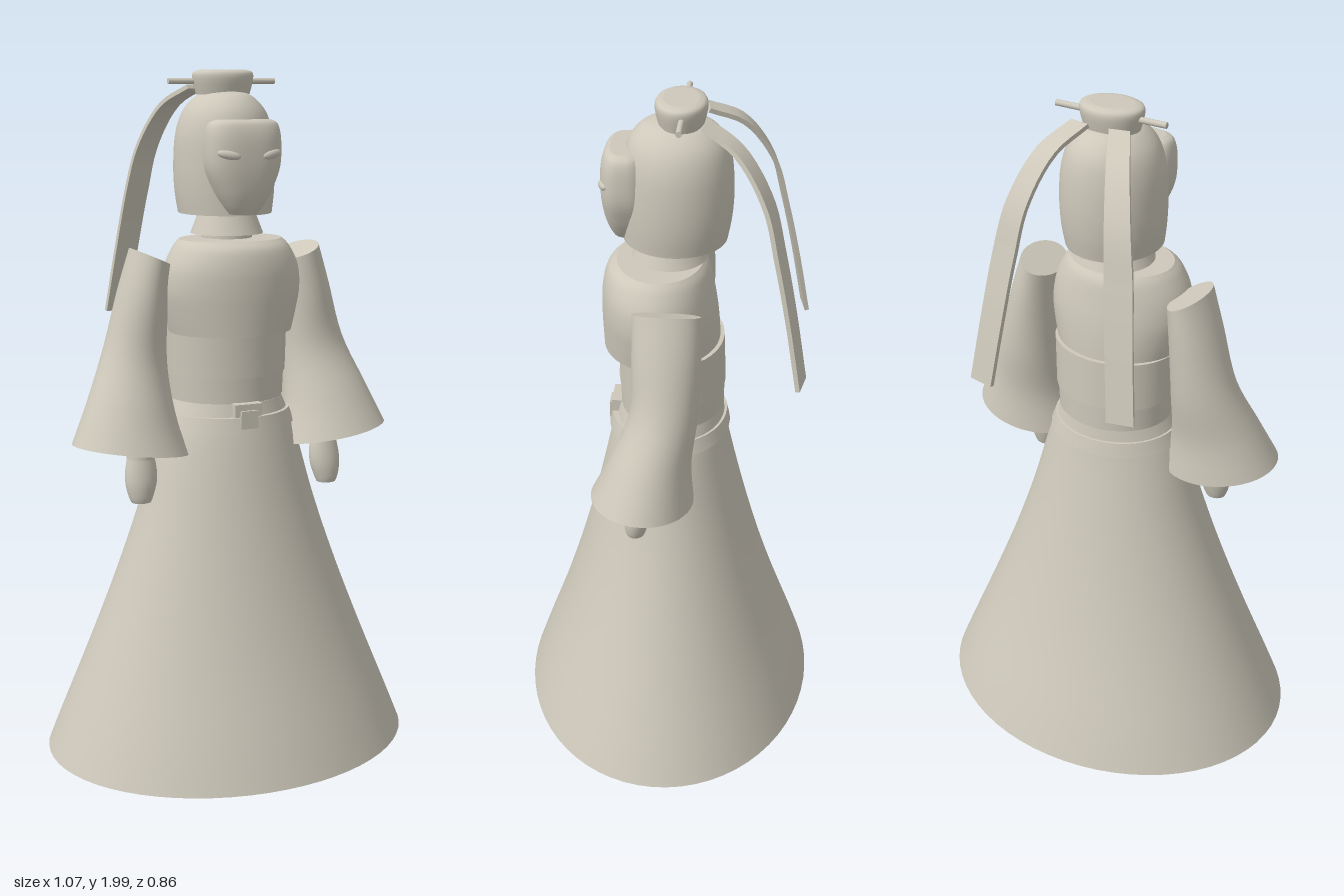
import * as THREE from 'three';

const cloth = new THREE.MeshStandardMaterial({ color: 0xcdc8ba, side: THREE.DoubleSide });
cloth.name = 'warm grey';

// Catmull-Rom subdivision of a list of number rows
function smoothRows(rows, sub) {
  if (sub < 2) return rows;
  const out = [], at = i => rows[Math.max(0, Math.min(rows.length - 1, i))];
  for (let i = 0; i < rows.length - 1; i++) {
    for (let k = 0; k < sub; k++) {
      const t = k / sub, [a, b, c, d] = [at(i - 1), at(i), at(i + 1), at(i + 2)];
      out.push(b.map((_, n) => 0.5 * (2 * b[n] + (c[n] - a[n]) * t
        + (2 * a[n] - 5 * b[n] + 4 * c[n] - d[n]) * t * t
        + (3 * b[n] - a[n] - 3 * c[n] + d[n]) * t * t * t)));
    }
  }
  out.push(rows[rows.length - 1]);
  return out;
}

// Elliptical loft, listed from top to bottom. Row: x, y, z, rx, rz, roll (about z), tilt (about x)
function loft(rows, { sub = 5, seg = 48, top = true, bottom = true, power = 1 } = {}) {
  const rings = smoothRows(rows.map(r => [...r, 0, 0].slice(0, 7)), sub);
  const pos = [], idx = [];
  const bend = v => Math.sign(v) * Math.abs(v) ** power;
  const addRing = ([x, y, z, rx, rz, roll, tilt]) => {
    const start = pos.length / 3;
    for (let j = 0; j < seg; j++) {
      const a = j / seg * Math.PI * 2, p = bend(Math.cos(a)) * rx, q = bend(Math.sin(a)) * rz;
      pos.push(x + p * Math.cos(roll), y + p * Math.sin(roll) - q * Math.sin(tilt), z + q * Math.cos(tilt));
    }
    return start;
  };
  rings.forEach(addRing);
  for (let i = 0; i < rings.length - 1; i++) {
    for (let j = 0; j < seg; j++) {
      const a = i * seg + j, b = i * seg + (j + 1) % seg;
      idx.push(a, b, a + seg, b, b + seg, a + seg);
    }
  }
  const cap = (ring, flip) => {
    const s = addRing(ring), c = pos.length / 3;
    pos.push(ring[0], ring[1], ring[2]);
    for (let j = 0; j < seg; j++) {
      const a = s + j, b = s + (j + 1) % seg;
      idx.push(c, flip ? b : a, flip ? a : b);
    }
  };
  if (top) cap(rings[0], true);
  if (bottom) cap(rings[rings.length - 1], false);
  const g = new THREE.BufferGeometry();
  g.setAttribute('position', new THREE.Float32BufferAttribute(pos, 3));
  g.setIndex(idx);
  g.computeVertexNormals();
  return g;
}

// Flat ribbon with a small thickness swept along a curve
function ribbon(points, halfWidth, side) {
  const curve = new THREE.CatmullRomCurve3(points.map(p => new THREE.Vector3(p[0] * side, p[1], p[2])));
  const n = 28, g = new THREE.BoxGeometry(1, 1, 1, 4, n, 1), p = g.attributes.position;
  const across = new THREE.Vector3(0.97, 0, 0.2 * side).normalize();
  for (let i = 0; i < p.count; i++) {
    const t = 0.5 - p.getY(i), tan = curve.getTangentAt(t);
    const out = new THREE.Vector3().crossVectors(tan, across).normalize().multiplyScalar(-1);
    const v = curve.getPointAt(t)
      .addScaledVector(across, p.getX(i) * 2 * halfWidth * (0.75 + 0.25 * Math.min(1, t * 2)))
      .addScaledVector(out, p.getZ(i) * 0.012);
    p.setXYZ(i, v.x, v.y, v.z);
  }
  g.computeVertexNormals();
  return g;
}

export function createModel() {
  const model = new THREE.Group();
  const add = (name, geometry) => {
    const m = new THREE.Mesh(geometry, cloth);
    m.name = name;
    model.add(m);
    return m;
  };

  // Flared skirt, open below, with a thin inner wall
  const skirt = [
    [0, 1.11, -0.005, 0.157, 0.143], [0, 1.0, 0, 0.2, 0.165], [0, 0.8, 0, 0.258, 0.21],
    [0, 0.6, 0, 0.328, 0.262], [0, 0.4, 0, 0.407, 0.323], [0, 0.2, 0, 0.49, 0.393], [0, 0.09, 0, 0.535, 0.43]];
  add('skirt', loft(skirt, { bottom: false, seg: 64 }));
  add('skirtLining', loft(skirt.map(([x, y, z, a, b]) => [x, y, z, a - 0.01, b - 0.01]), { bottom: false, seg: 64 }));

  // Waist, sash bands and knot
  add('hipBand', loft([[0, 1.075, 0, 0.178, 0.16], [0, 1.035, 0, 0.193, 0.169]], { sub: 1 }));
  add('lowerSash', loft([[0, 1.19, -0.008, 0.166, 0.143], [0, 1.11, -0.008, 0.162, 0.143]], { sub: 1 }));
  add('upperSash', loft([[0, 1.32, -0.006, 0.174, 0.142], [0, 1.18, -0.008, 0.17, 0.146]], { sub: 1 }));
  const knot = add('sashKnot', new THREE.BoxGeometry(0.08, 0.035, 0.03));
  knot.position.set(0, 1.095, 0.145);
  const knotEnd = add('sashKnotEnd', new THREE.BoxGeometry(0.05, 0.05, 0.02));
  knotEnd.position.set(0, 1.07, 0.158);

  // Chest, collar and neck
  add('chest', loft([
    [0, 1.553, 0.025, 0.145, 0.115], [0, 1.53, 0.03, 0.165, 0.135], [0, 1.48, 0.031, 0.19, 0.147],
    [0, 1.42, 0.027, 0.197, 0.154], [0, 1.36, 0.023, 0.188, 0.157], [0, 1.3, 0.02, 0.174, 0.158]]));
  add('collar', loft([[0, 1.617, 0, 0.08, 0.08], [0, 1.565, 0, 0.1, 0.1]], { sub: 1 }));
  add('neck', loft([[0, 1.68, 0, 0.065, 0.065], [0, 1.54, 0, 0.07, 0.07]], { sub: 1 }));

  // Rounded hair cap
  add('hair', loft([
    [0, 1.943, -0.02, 0.04, 0.05], [0, 1.93, -0.02, 0.075, 0.09], [0, 1.89, -0.02, 0.112, 0.124],
    [0, 1.83, -0.02, 0.132, 0.139], [0, 1.75, -0.02, 0.138, 0.144], [0, 1.68, -0.018, 0.136, 0.142],
    [0, 1.62, -0.014, 0.128, 0.136]]));

  // Shield-shaped face with eyes
  add('face', loft([
    [0, 1.872, 0.115, 0.075, 0.035], [0, 1.86, 0.112, 0.095, 0.052], [0, 1.82, 0.11, 0.104, 0.064],
    [0, 1.75, 0.108, 0.102, 0.067], [0, 1.69, 0.105, 0.08, 0.063], [0, 1.65, 0.102, 0.058, 0.055],
    [0, 1.625, 0.1, 0.04, 0.045]], { power: 0.75 }));
  for (const s of [1, -1]) {
    const eye = add(s > 0 ? 'leftEye' : 'rightEye', new THREE.SphereGeometry(1, 20, 12));
    eye.scale.set(0.032, 0.013, 0.012);
    eye.position.set(0.06 * s, 1.783, 0.163);
    eye.rotation.set(0, 0.3 * s, 0.2 * s);
  }

  // Topknot with a pin through it
  add('topknot', loft([
    [0, 2.0, -0.028, 0.06, 0.045], [0, 1.994, -0.028, 0.082, 0.062], [0, 1.975, -0.028, 0.085, 0.066],
    [0, 1.935, -0.028, 0.075, 0.058]], { sub: 3 }));
  const pin = add('hairPin', new THREE.CylinderGeometry(0.008, 0.008, 0.31, 12));
  pin.rotation.z = Math.PI / 2;
  pin.position.set(0, 1.97, -0.035);

  for (const s of [1, -1]) {
    const side = s > 0 ? 'left' : 'right';
    const mirror = rows => rows.map(([x, y, z, rx, rz, roll = 0, tilt = 0]) => [x * s, y, z, rx, rz, roll * s, tilt]);

    // Trailing hair ribbon
    add(side + 'Ribbon', ribbon([
      [0.055, 1.955, -0.09], [0.1, 1.905, -0.18], [0.14, 1.79, -0.255], [0.162, 1.66, -0.29],
      [0.182, 1.5, -0.325], [0.205, 1.31, -0.36]], 0.036, s));

    // Wide sleeve, closed at the shoulder and open at the hem
    add(side + 'Sleeve', loft(mirror([
      [0.221, 1.508, -0.012, 0.056, 0.088, 0.42], [0.243, 1.395, -0.014, 0.07, 0.09, 0.32],
      [0.268, 1.24, -0.01, 0.09, 0.09, 0.25], [0.292, 1.1, 0.025, 0.125, 0.11, 0.2],
      [0.302, 0.99, 0.045, 0.165, 0.138, 0.14, -0.06]]), { bottom: false }));

    // Forearm and hand
    add(side + 'Forearm', loft(mirror([
      [0.255, 1.25, 0.0, 0.045, 0.045], [0.275, 0.99, 0.052, 0.042, 0.04], [0.278, 0.965, 0.055, 0.04, 0.036]]),
      { sub: 1, seg: 24 }));
    add(side + 'Hand', loft(mirror([
      [0.278, 0.985, 0.053, 0.034, 0.028], [0.279, 0.935, 0.058, 0.044, 0.034], [0.281, 0.895, 0.063, 0.044, 0.035],
      [0.283, 0.86, 0.067, 0.035, 0.03], [0.283, 0.843, 0.068, 0.028, 0.025]]), { sub: 4, seg: 24 }));

    // Slipper from ankle to toe
    add(side + 'Foot', loft(mirror([
      [0.105, 0.13, -0.055, 0.045, 0.045, 0, -0.7], [0.105, 0.09, -0.015, 0.052, 0.054, 0, -0.85],
      [0.105, 0.063, 0.04, 0.055, 0.053, 0, -1.3], [0.105, 0.056, 0.1, 0.052, 0.041, 0, -1.5],
      [0.105, 0.05, 0.15, 0.036, 0.027, 0, -1.57], [0.105, 0.05, 0.168, 0.02, 0.02, 0, -1.57]]), { seg: 28 }));
  }
  return model;
}
